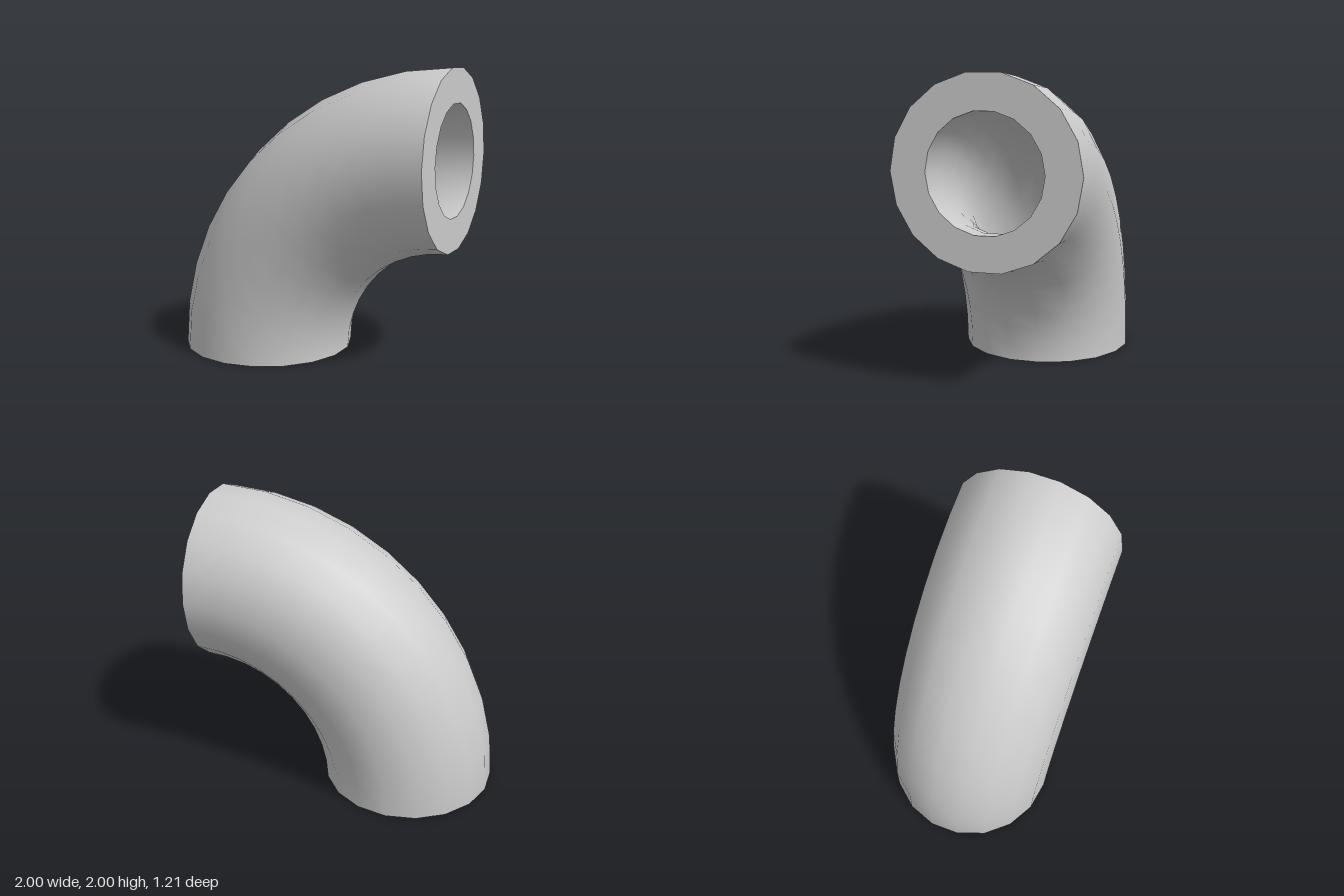
import * as THREE from 'three';

const BEND = 1.405, OUTER = 0.604, INNER = 0.375;
const SIDES = 18, STEPS = 10;

// Quarter-bend tube wall; the section is turned half a side so a flat faces the outside of the bend
function bendWall(radius, inward) {
  const geo = new THREE.TorusGeometry(BEND, radius, SIDES, STEPS, Math.PI / 2);
  const { position, normal, uv } = geo.attributes;
  const sign = inward ? -1 : 1;
  for (let i = 0; i < position.count; i++) {
    const u = Math.PI / 2 * (1 + uv.getX(i));
    const v = Math.PI * 2 * (uv.getY(i) + 0.5 / SIDES);
    const n = new THREE.Vector3(Math.cos(v) * Math.cos(u), Math.cos(v) * Math.sin(u), Math.sin(v));
    position.setXYZ(i, 1 + BEND * Math.cos(u) + radius * n.x, BEND * Math.sin(u) + radius * n.y, radius * n.z);
    normal.setXYZ(i, sign * n.x, sign * n.y, sign * n.z);
  }
  // The bore is seen from inside, so its triangles are reversed
  if (inward) geo.setIndex(Array.from(geo.index.array).reverse());
  return geo;
}

export function createModel() {
  const group = new THREE.Group();
  group.name = 'pipeElbow';
  const material = new THREE.MeshStandardMaterial({ color: 0xcccccc });
  const add = (name, geo) => {
    const mesh = new THREE.Mesh(geo, material);
    mesh.name = name;
    group.add(mesh);
  };

  add('outerWall', bendWall(OUTER, false));
  add('bore', bendWall(INNER, true));

  // Flat annular ends: one facing +x at the top, one facing down at the base
  const sideEnd = new THREE.RingGeometry(INNER, OUTER, SIDES, 1);
  sideEnd.rotateY(Math.PI / 2).translate(1, BEND, 0);
  add('sideEnd', sideEnd);

  const bottomEnd = new THREE.RingGeometry(INNER, OUTER, SIDES, 1, Math.PI / 2);
  bottomEnd.rotateX(Math.PI / 2).translate(1 - BEND, 0, 0);
  add('bottomEnd', bottomEnd);

  return group;
}
